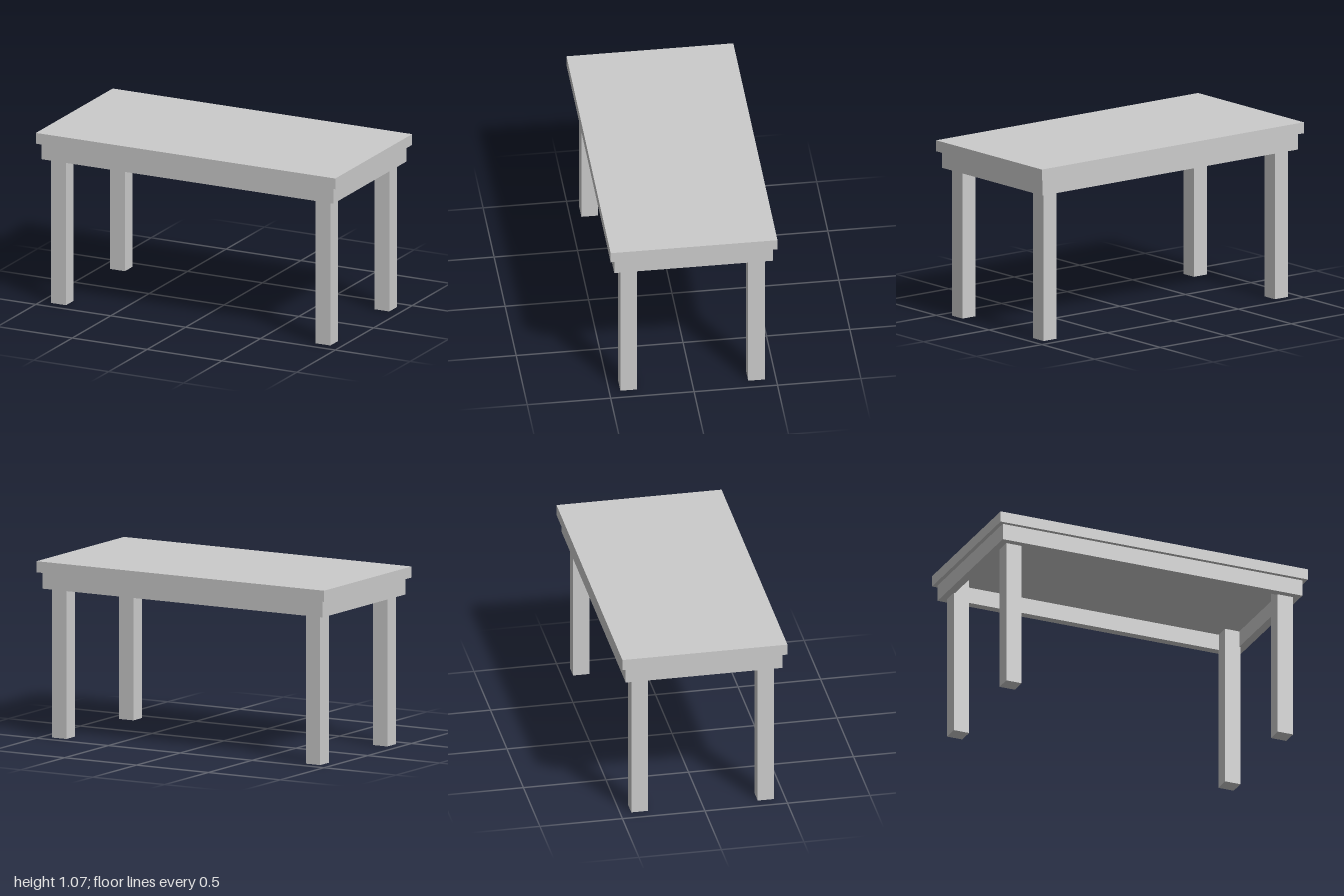
import * as THREE from 'three';

const material = new THREE.MeshStandardMaterial({ color: 0xcccccc, flatShading: true });

function rectangle(PathType, halfX, halfY) {
  const path = new PathType();
  path.moveTo(-halfX, -halfY);
  path.lineTo(halfX, -halfY);
  path.lineTo(halfX, halfY);
  path.lineTo(-halfX, halfY);
  path.closePath();
  return path;
}

function addPart(group, name, geometry, x, y, z) {
  const mesh = new THREE.Mesh(geometry, material);
  mesh.name = name;
  mesh.position.set(x, y, z);
  group.add(mesh);
}

export function createModel() {
  const table = new THREE.Group();
  table.name = 'table';

  // Flat slab resting on the frame
  const topThickness = 0.067;
  addPart(table, 'tabletop', new THREE.BoxGeometry(2, topThickness, 1), 0, 1 + topThickness / 2, 0);

  // Rectangular apron frame, open in the middle
  const outline = rectangle(THREE.Shape, 0.975, 0.475);
  outline.holes.push(rectangle(THREE.Path, 0.925, 0.425));
  const apron = new THREE.ExtrudeGeometry(outline, { depth: 0.1, bevelEnabled: false });
  apron.rotateX(-Math.PI / 2);
  addPart(table, 'apron', apron, 0, 0.9, 0);

  // Four square legs reaching up to the underside of the top
  const leg = new THREE.BoxGeometry(0.1, 1, 0.1);
  for (const [side, sx] of [['Left', 1], ['Right', -1]]) {
    for (const [end, sz] of [['front', 1], ['back', -1]]) {
      addPart(table, `${end}${side}Leg`, leg, sx * 0.883, 0.5, sz * 0.383);
    }
  }

  return table;
}
